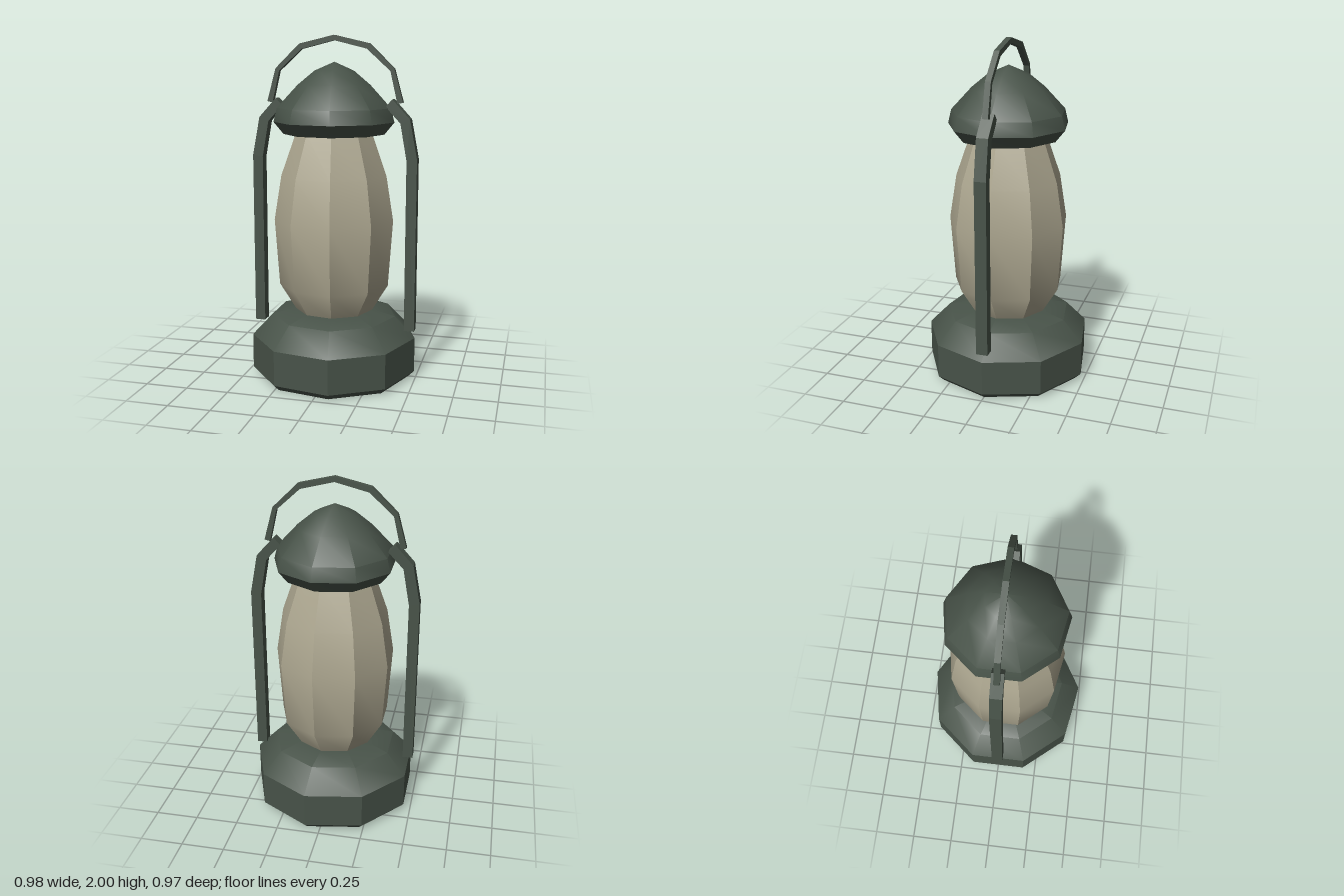
import * as THREE from 'three';
import { toCreasedNormals } from 'three/addons/utils/BufferGeometryUtils.js';

const SIDES = 9;

// Nine-sided turned part from [radius, height] pairs, with a corner on +x
function turned(name, profile, crease, material) {
  const points = profile.map(([r, y]) => new THREE.Vector2(r, y));
  const geometry = new THREE.LatheGeometry(points, SIDES, Math.PI / 2);
  const mesh = new THREE.Mesh(toCreasedNormals(geometry, crease), material);
  mesh.name = name;
  return mesh;
}

// Flat bar cut from an outline in the xy plane, from zBack to zFront
function bar(name, outline, zBack, zFront, material) {
  const shape = new THREE.Shape(outline.map(([x, y]) => new THREE.Vector2(x, y)));
  const geometry = new THREE.ExtrudeGeometry(shape, { depth: zFront - zBack, bevelEnabled: false });
  geometry.translate(0, 0, zBack);
  const mesh = new THREE.Mesh(geometry, material);
  mesh.name = name;
  return mesh;
}

const mirrored = (points) => points.map(([x, y]) => [-x, y]);

export function createModel() {
  const metal = new THREE.MeshStandardMaterial({ color: 0x485349 });
  metal.name = 'dark green metal';
  const glass = new THREE.MeshStandardMaterial({ color: 0xaea891 });
  glass.name = 'dusty glass';

  const model = new THREE.Group();
  model.name = 'lantern';

  // Base with bevelled foot and sloping shoulder
  model.add(turned('base', [
    [0, 0], [0.455, 0], [0.49, 0.035], [0.49, 0.24], [0.37, 0.365], [0.24, 0.395], [0, 0.395],
  ], 0.65, metal));

  // Bulging faceted glass
  model.add(turned('glassChimney', [
    [0.228, 0.39], [0.325, 0.55], [0.352, 0.94], [0.31, 1.2], [0.222, 1.45],
  ], 0.5, glass));

  // Domed cap
  model.add(turned('cap', [
    [0, 1.44], [0.295, 1.44], [0.352, 1.51], [0.332, 1.59], [0.212, 1.72], [0.115, 1.8], [0, 1.85],
  ], 0.7, metal));

  // Side posts, bent inwards to meet the cap
  const post = [
    [0.43, 0.29], [0.49, 0.29], [0.49, 1.305], [0.447, 1.53],
    [0.345, 1.642], [0.305, 1.6], [0.392, 1.507], [0.43, 1.295],
  ];
  model.add(bar('leftPost', post, -0.035, 0.033, metal));
  model.add(bar('rightPost', mirrored(post), -0.035, 0.033, metal));

  // Carrying handle arched over the cap
  const outer = [[0.402, 1.622], [0.35, 1.812], [0.206, 1.952], [0, 2]];
  const inner = [[0.37, 1.615], [0.328, 1.798], [0.192, 1.922], [0, 1.97]];
  const outline = [
    ...outer, ...mirrored(outer.slice(0, 3)).reverse(),
    ...mirrored(inner), ...inner.slice(0, 3).reverse(),
  ];
  model.add(bar('handle', outline, -0.018, 0.015, metal));

  return model;
}
